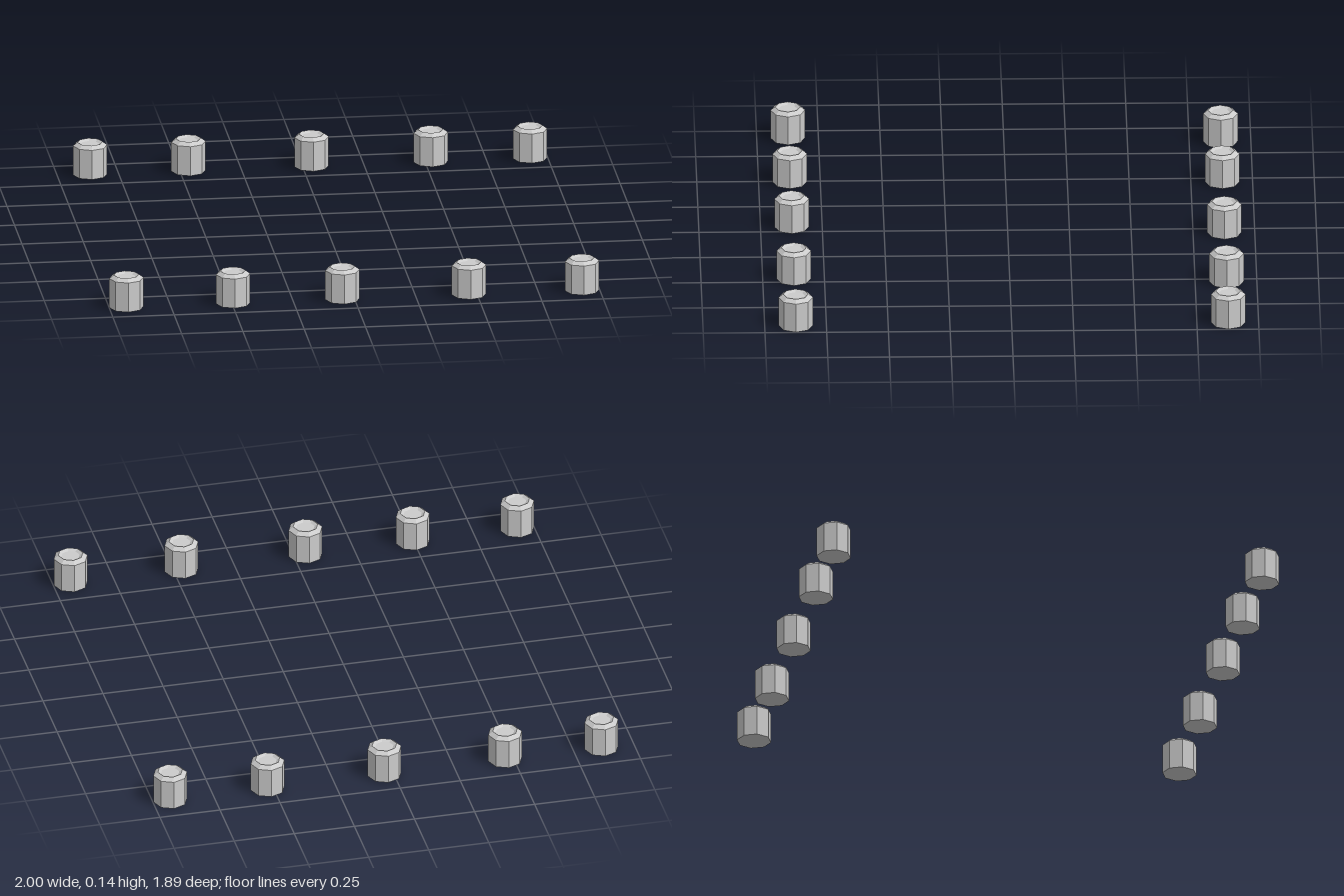
import * as THREE from 'three';

// x positions of the pegs in each row
const rows = [
  { name: 'backPeg', z: -0.877, xs: [-0.866, -0.465, 0.037, 0.523, 0.928] },
  { name: 'frontPeg', z: 0.874, xs: [-0.93, -0.495, -0.049, 0.467, 0.928] },
];

export function createModel() {
  const model = new THREE.Group();
  model.name = 'pegRows';
  const material = new THREE.MeshStandardMaterial({ color: 0xcccccc, flatShading: true });

  // Eight-sided peg: straight wall, bevelled rim and a shallow dished top
  const profile = [
    [0, 0], [0.07, 0], [0.07, 0.124], [0.051, 0.138], [0.038, 0.13], [0, 0.13],
  ].map(([r, y]) => new THREE.Vector2(r, y));
  const pegGeometry = new THREE.LatheGeometry(profile, 8);

  for (const { name, z, xs } of rows) {
    xs.forEach((x, i) => {
      const peg = new THREE.Mesh(pegGeometry, material);
      peg.name = name + (i + 1);
      peg.position.set(x, 0, z);
      model.add(peg);
    });
  }
  return model;
}
